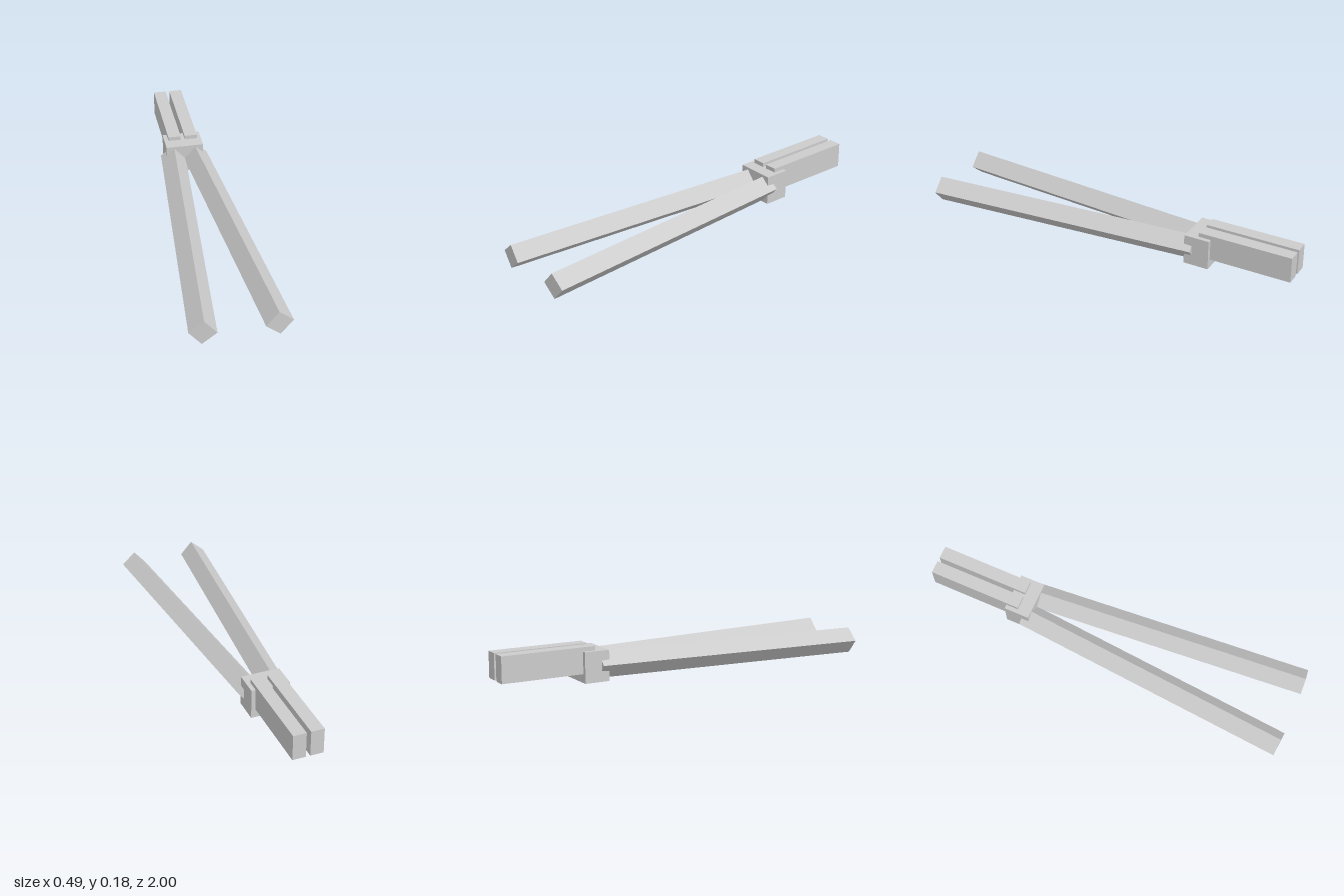
import * as THREE from 'three';

export function createModel() {
  const group = new THREE.Group();
  const grey = new THREE.MeshStandardMaterial({ color: 0xcccccc });
  grey.name = 'light grey';

  const addBox = (name, size, position) => {
    const mesh = new THREE.Mesh(new THREE.BoxGeometry(...size), grey);
    mesh.name = name;
    mesh.position.set(...position);
    group.add(mesh);
    return mesh;
  };

  // Central block that joins the legs and the rear bars
  addBox('jointBlock', [0.202, 0.158, 0.133], [0, 0.079, -0.5035]);

  for (const [side, s] of [['left', 1], ['right', -1]]) {
    // Square leg, rolled onto its edge and splayed outwards
    const leg = addBox(`${side}Leg`, [0.095, 0.0945, 1.475], [s * 0.12, 0.08, 0.26]);
    leg.rotation.set(0, s * 0.0815, s * -0.709, 'YXZ');

    // Straight rear bar, set into the block
    addBox(`${side}RearBar`, [0.068, 0.135, 0.495], [s * 0.045, 0.1125, -0.7525]);
  }

  return group;
}
